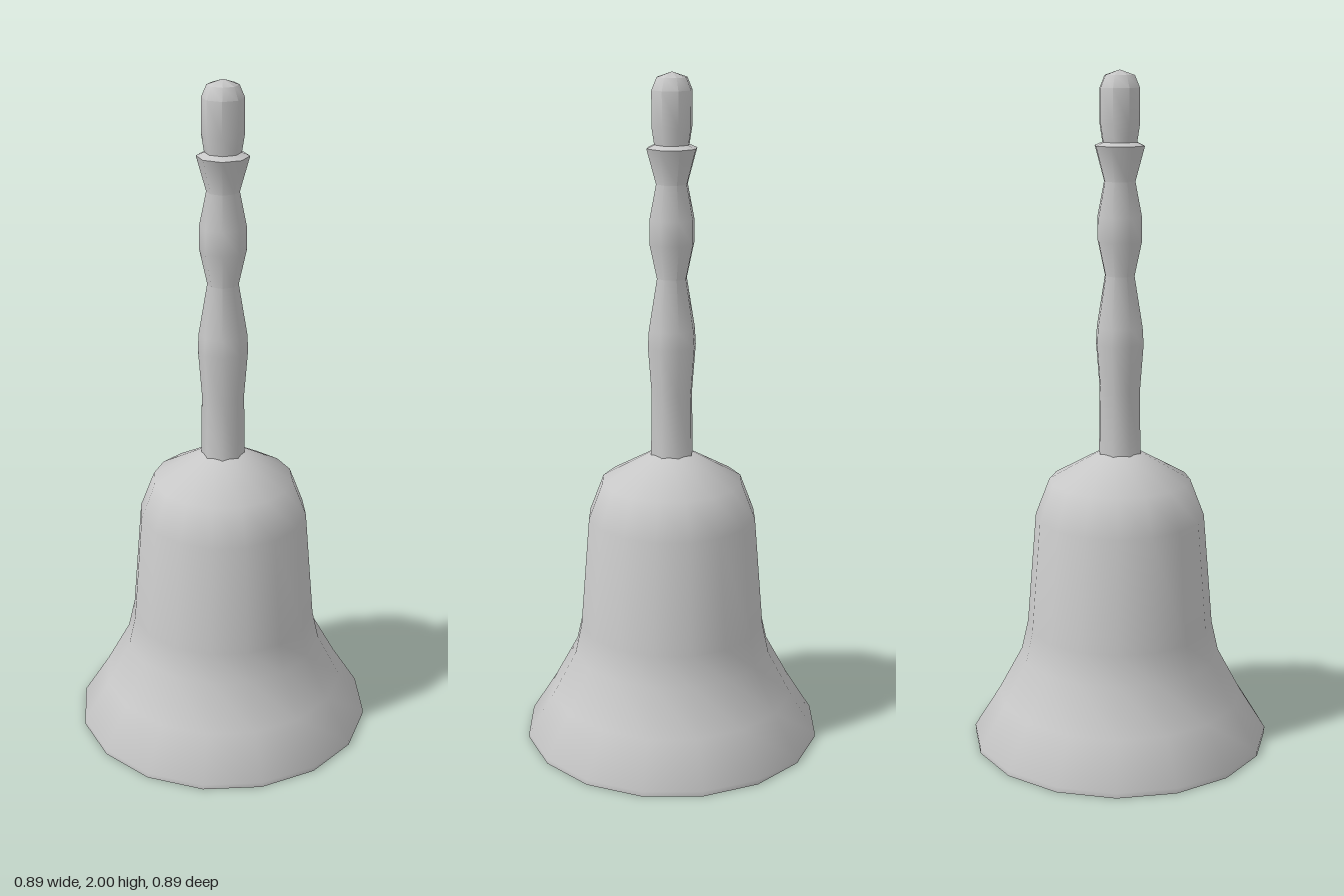
import * as THREE from 'three';
import { toCreasedNormals } from 'three/addons/utils/BufferGeometryUtils.js';

export function createModel() {
  const bell = new THREE.Group();
  bell.name = 'handBell';
  const metal = new THREE.MeshStandardMaterial({ color: 0xc8c8c8 });
  metal.name = 'pale grey metal';

  // Revolve a [radius, height] profile into a low-sided, softly shaded part.
  function turned(name, profile, sides, turn = 0) {
    const points = profile.map(([r, y]) => new THREE.Vector2(r, y));
    const geometry = new THREE.LatheGeometry(points, sides, turn);
    const mesh = new THREE.Mesh(toCreasedNormals(geometry, 0.85), metal);
    mesh.name = name;
    bell.add(mesh);
  }

  // Hollow body: down the inside, around the lip, up the outside.
  turned('bellBody', [
    [0, 0.84], [0.05, 0.84], [0.19, 0.77], [0.23, 0.68], [0.26, 0.36],
    [0.28, 0.27], [0.35, 0.14], [0.435, 0],
    [0.448, 0], [0.448, 0.015], [0.37, 0.14], [0.3, 0.27], [0.28, 0.36],
    [0.252, 0.7], [0.21, 0.81], [0.06, 0.895], [0, 0.895],
  ], 16, 0.1);

  // Turned grip with swells, a collar ledge and a rounded end.
  turned('handle', [
    [0, 0.86], [0.065, 0.86], [0.062, 1.08], [0.073, 1.22], [0.07, 1.27],
    [0.045, 1.42], [0.067, 1.52], [0.067, 1.59], [0.047, 1.69], [0.075, 1.79],
    [0.052, 1.8], [0.06, 1.85], [0.06, 1.95], [0.045, 1.985], [0, 2],
  ], 8, 0.2);

  // Clapper hanging inside.
  turned('clapperRod', [[0, 0.25], [0.02, 0.25], [0.02, 0.85], [0, 0.85]], 6);
  const ball = new THREE.Mesh(new THREE.SphereGeometry(0.105, 9, 7), metal);
  ball.name = 'clapperBall';
  ball.position.y = 0.195;
  bell.add(ball);

  return bell;
}
